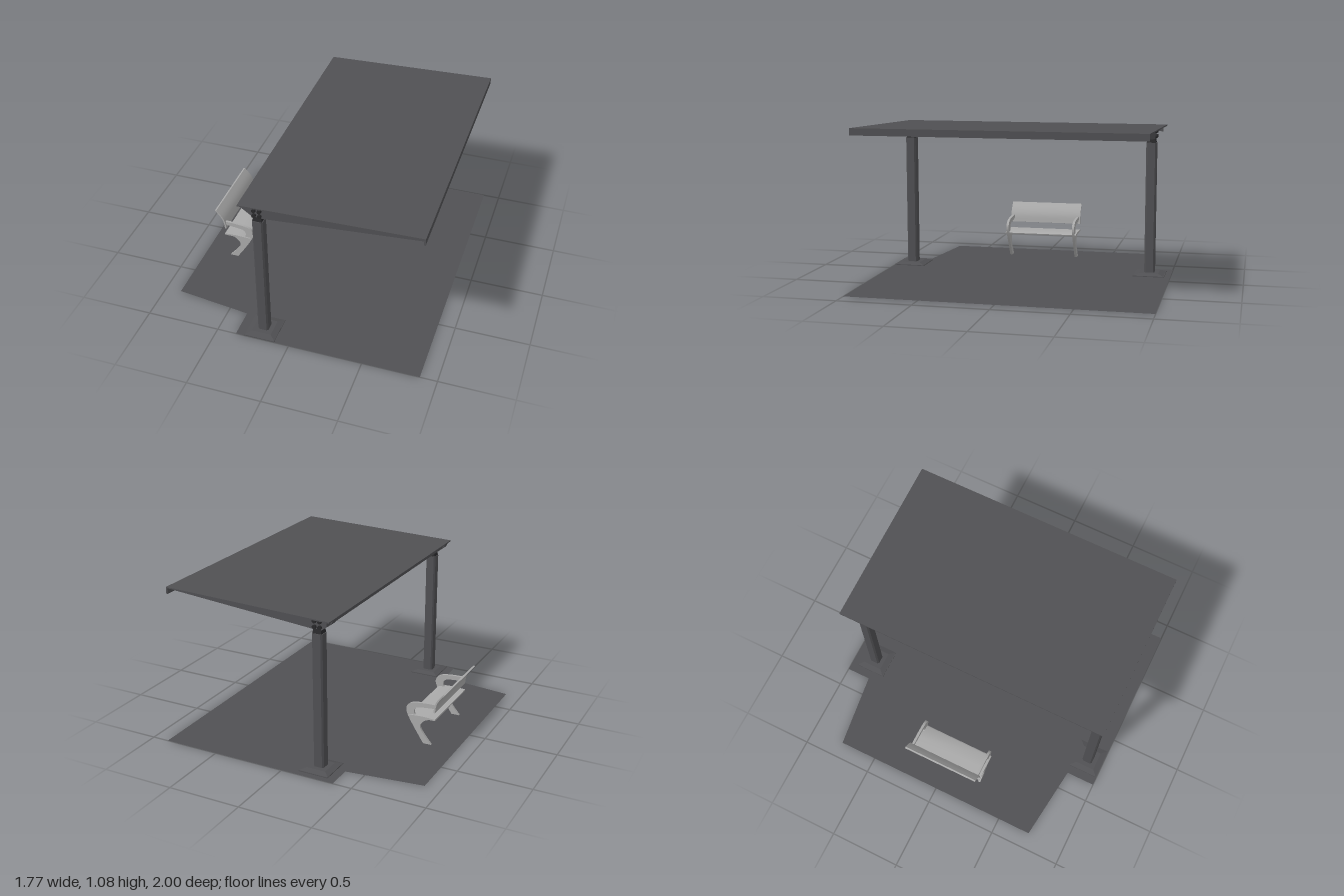
import * as THREE from 'three';
import { toCreasedNormals } from 'three/addons/utils/BufferGeometryUtils.js';

const mat = (name, color, side = THREE.FrontSide) => {
  const m = new THREE.MeshStandardMaterial({ color, side });
  m.name = name;
  return m;
};

const vecs = (pts) => pts.map(([x, y]) => new THREE.Vector2(x, y));
const smooth = (pts, n = 24) => new THREE.SplineCurve(vecs(pts)).getPoints(n);

// Extrude an x-y outline along z, centred on z = 0
function slab(points, width) {
  const geo = new THREE.ExtrudeGeometry(new THREE.Shape(points), { depth: width, bevelEnabled: false });
  geo.translate(0, 0, -width / 2);
  return toCreasedNormals(geo, 0.6);
}

// Square frustum standing on y = 0
function frustum(halfBottom, halfTop, height) {
  const geo = new THREE.CylinderGeometry(halfTop * Math.SQRT2, halfBottom * Math.SQRT2, height, 4).toNonIndexed();
  geo.rotateY(Math.PI / 4).translate(0, height / 2, 0);
  geo.computeVertexNormals();
  return geo;
}

export function createModel() {
  const model = new THREE.Group();
  const steel = mat('dark grey steel', 0x505053);
  const paving = mat('dark grey paving', 0x505053, THREE.DoubleSide);
  const black = mat('black fittings', 0x29292b);
  const benchGrey = mat('light grey bench', 0xa9a9a9);

  const add = (parent, name, geo, material, x = 0, y = 0, z = 0) => {
    const mesh = new THREE.Mesh(geo, material);
    mesh.name = name;
    mesh.position.set(x, y, z);
    parent.add(mesh);
    return mesh;
  };
  const group = (name, x = 0, y = 0, z = 0) => {
    const g = new THREE.Group();
    g.name = name;
    g.position.set(x, y, z);
    model.add(g);
    return g;
  };

  // Paved floor with a tapering bay under the bench
  const floor = new THREE.ShapeGeometry(new THREE.Shape(vecs([
    [-0.37, -1], [0.885, -1], [0.885, 1], [-0.37, 1],
    [-0.37, 0.83], [-0.89, 0.765], [-0.89, -0.735], [-0.37, -0.8],
  ])));
  floor.rotateX(-Math.PI / 2);
  add(model, 'floor', floor, paving, 0, 0.001, 0);

  // Roof sheet with a deeper front fascia
  const roof = slab(vecs([
    [-0.325, 1.037], [0.844, 1.072], [0.844, 1.034], [0.854, 1.034], [0.854, 1.08], [-0.325, 1.045],
  ]), 1.888);
  add(model, 'roof', roof, steel);

  // Lengthwise beam at the rear of the roof
  add(model, 'rearBeam', new THREE.BoxGeometry(0.022, 0.04, 1.78), steel, -0.285, 1.021, -0.03);

  // Inner rafters
  const rafter = slab(vecs([[-0.3, 1.02], [-0.2, 0.973], [0.845, 1.045], [0.845, 1.073], [-0.3, 1.039]]), 0.022);
  for (const z of [0.39, -0.35]) add(model, 'rafter', rafter, steel, 0, 0, z);

  // Posts, each with a foot, neck, cantilever arm and bolts
  const s = 0.036, c = 0.026;
  const postOutline = vecs([[s, -c], [s, c], [c, s], [-c, s], [-s, c], [-s, -c], [-c, -s], [c, -s]]);
  const postGeo = new THREE.ExtrudeGeometry(new THREE.Shape(postOutline), { depth: 0.915, bevelEnabled: false });
  postGeo.rotateX(-Math.PI / 2);
  const armGeo = slab(vecs([
    [-0.318, 1.038], [-0.302, 1.003], [-0.232, 0.952], [-0.17, 0.955], [0.845, 1.038], [0.845, 1.073],
  ]), 0.05);
  const boltGeo = new THREE.CylinderGeometry(0.013, 0.013, 0.08, 16).rotateX(Math.PI / 2);
  for (const z of [0.89, -0.85]) {
    const post = group('post', -0.206, 0, z);
    add(post, 'footPlate', new THREE.BoxGeometry(0.21, 0.006, 0.218), steel, 0, 0.003, 0);
    add(post, 'footTaper', frustum(0.104, 0.066, 0.012), steel, 0, 0.006, 0);
    add(post, 'column', postGeo, steel, 0, 0.014, 0);
    add(post, 'neck', frustum(0.031, 0.026, 0.03), black, 0, 0.929, 0);
    add(post, 'cantileverArm', armGeo, steel, 0.206, 0, 0);
    for (const x of [-0.02, 0.017]) {
      for (const y of [0.973, 1.01]) add(post, 'bolt', boltGeo, black, x, y, 0);
    }
  }

  // Bench with curved back, flat seat and two looping side frames
  const bench = group('bench', 0, 0, 0.006);
  const backLine = [[-0.8, 0.39], [-0.762, 0.345], [-0.74, 0.3], [-0.732, 0.246]];
  const backFront = smooth(backLine.map(([x, y]) => [x + 0.006, y]), 12);
  const backRear = smooth(backLine.map(([x, y]) => [x - 0.005, y - 0.002]), 12);
  add(bench, 'backrest', slab([...backFront, ...backRear.reverse()], 0.538), benchGrey);
  add(bench, 'seat', slab(vecs([
    [-0.74, 0.188], [-0.548, 0.183], [-0.545, 0.19], [-0.555, 0.197], [-0.65, 0.202], [-0.74, 0.198],
  ]), 0.538), benchGrey);

  const outer = smooth([
    [-0.74, 0.298], [-0.655, 0.295], [-0.575, 0.284], [-0.537, 0.26], [-0.527, 0.227],
    [-0.541, 0.184], [-0.584, 0.109], [-0.655, 0],
  ], 32);
  const legInner = smooth([
    [-0.712, 0], [-0.664, 0.057], [-0.631, 0.109], [-0.636, 0.142], [-0.674, 0.175], [-0.74, 0.189],
  ]);
  const armInner = smooth([
    [-0.74, 0.199], [-0.608, 0.196], [-0.584, 0.217], [-0.593, 0.246], [-0.627, 0.26], [-0.73, 0.27],
  ]);
  const frame = slab([...outer, ...legInner, ...armInner], 0.017);
  for (const z of [0.25, -0.25]) add(bench, 'sideFrame', frame, benchGrey, 0, 0, z);

  return model;
}
